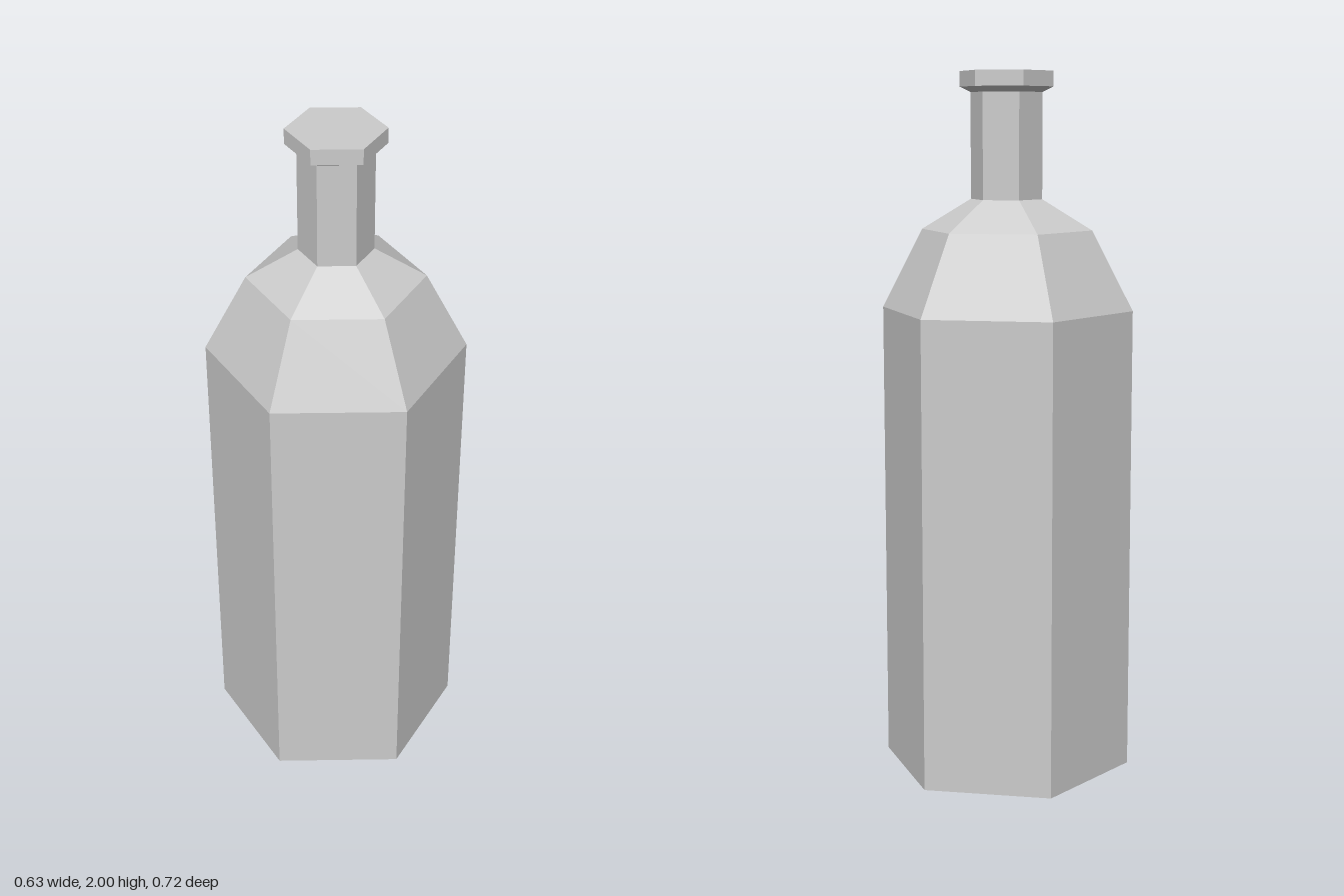
import * as THREE from 'three';

const SIDES = 6;
const material = new THREE.MeshStandardMaterial({ color: 0xcccccc, flatShading: true });

// Turns a [radius, height] profile, listed bottom to top, into a hexagonal part
// with corners facing front and back.
function hexPart(name, profile) {
  const points = profile.map(([r, y]) => new THREE.Vector2(r, y));
  const mesh = new THREE.Mesh(new THREE.LatheGeometry(points, SIDES), material);
  mesh.name = name;
  return mesh;
}

export function createModel() {
  const bottle = new THREE.Group();
  bottle.name = 'bottle';
  bottle.add(
    // Underside with a shallow hollow
    hexPart('base', [[0, 0.02], [0.21, 0], [0.361, 0]]),
    hexPart('body', [[0.361, 0], [0.361, 1.335]]),
    // Two sloping bands up to the neck
    hexPart('shoulder', [[0.361, 1.335], [0.244, 1.56], [0.102, 1.646]]),
    hexPart('neck', [[0.102, 1.646], [0.102, 1.942]]),
    // Flared rim with a closed flat top
    hexPart('lip', [[0.102, 1.942], [0.133, 1.957], [0.133, 2], [0, 2]]),
  );
  return bottle;
}
